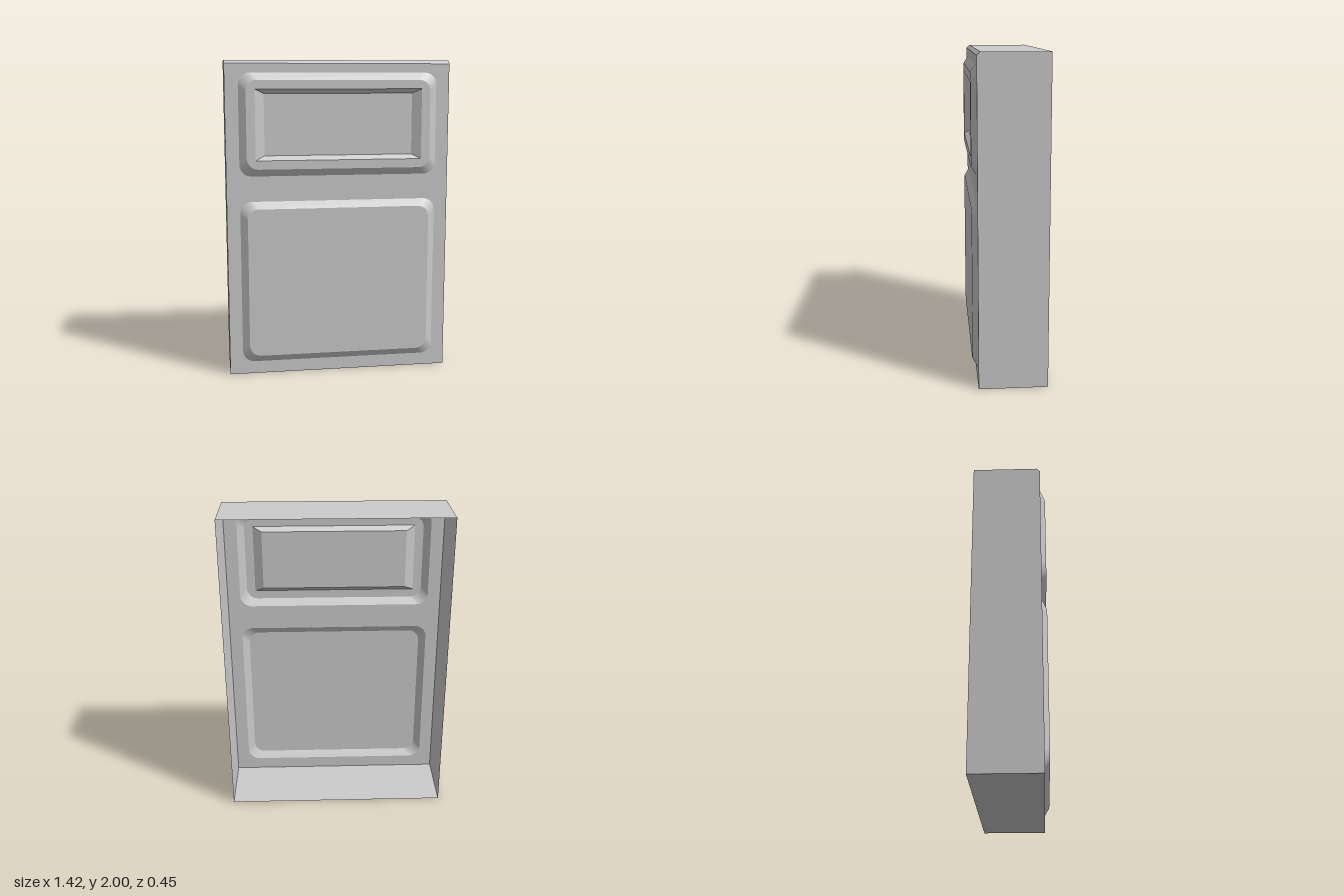
import * as THREE from 'three';

const HALF_W = 0.708, BACK = -0.225, FRONT = 0.195, RAISED = 0.225;
const CHAMFER = 0.02, HEIGHT = 2;

const smooth = new THREE.MeshStandardMaterial({ color: 0xcccccc, side: THREE.DoubleSide });
const flat = new THREE.MeshStandardMaterial({ color: 0xcccccc, side: THREE.DoubleSide, flatShading: true });

// Counter-clockwise rectangle outline; r = 0 gives sharp corners
function outline(hw, y0, y1, r = 0) {
  const steps = r > 0 ? 8 : 0;
  const corners = [[1, y1 - r, 0], [-1, y1 - r, 1], [-1, y0 + r, 2], [1, y0 + r, 3]];
  const pts = [];
  for (const [s, cy, q] of corners) {
    for (let i = 0; i <= steps; i++) {
      const a = (q + (steps ? i / steps : 0)) * Math.PI / 2;
      pts.push(new THREE.Vector2(s * (hw - r) + r * Math.cos(a), cy + r * Math.sin(a)));
    }
  }
  return pts;
}

// Band of quads between two rows of points
function band(a, b, closed) {
  const n = a.length, index = [];
  for (let i = 0; i < (closed ? n : n - 1); i++) {
    const j = (i + 1) % n;
    index.push(i, j, n + j, i, n + j, n + i);
  }
  const g = new THREE.BufferGeometry().setFromPoints([...a, ...b]);
  g.setIndex(index);
  g.computeVertexNormals();
  return g;
}

const atZ = (pts, z) => pts.map(p => new THREE.Vector3(p.x, p.y, z));

// Flat sheet facing +z with optional holes
function sheet(pts, z, holes = []) {
  const shape = new THREE.Shape(pts);
  for (const h of holes) shape.holes.push(new THREE.Path(h));
  return new THREE.ShapeGeometry(shape).translate(0, 0, z);
}

export function createModel() {
  const model = new THREE.Group();
  const add = (parent, name, geometry, material = smooth) => {
    const mesh = new THREE.Mesh(geometry, material);
    mesh.name = name;
    parent.add(mesh);
  };

  // Open-backed casing: side walls, then top and bottom with the chamfered front edge
  const top = HEIGHT - CHAMFER;
  const topProfile = [[top, FRONT], [HEIGHT, FRONT - CHAMFER], [HEIGHT, BACK]];
  const bottomProfile = [[0, BACK], [0, FRONT]];
  for (const s of [1, -1]) {
    const pts = [...bottomProfile, ...topProfile].map(([y, z]) => new THREE.Vector2(-s * z, y));
    add(model, s > 0 ? 'leftWall' : 'rightWall',
      new THREE.ShapeGeometry(new THREE.Shape(pts)).rotateY(s * Math.PI / 2).translate(s * HALF_W, 0, 0));
  }
  const across = profile => band(
    profile.map(([y, z]) => new THREE.Vector3(HALF_W, y, z)),
    profile.map(([y, z]) => new THREE.Vector3(-HALF_W, y, z)), false);
  add(model, 'topWall', across(topProfile), flat);
  add(model, 'bottomWall', across(bottomProfile), flat);

  // Raised panels with sloping rounded borders
  const slope = 0.045;
  const panels = [
    { name: 'lowerPanel', y0: 0.08, y1: 1.125 },
    { name: 'upperPanel', y0: 1.285, y1: 1.925, recess: true },
  ];
  const openings = [];
  for (const { name, y0, y1, recess } of panels) {
    const group = new THREE.Group();
    group.name = name;
    model.add(group);
    const outer = outline(0.625, y0, y1, 0.075);
    const inner = outline(0.625 - slope, y0 + slope, y1 - slope, 0.07);
    openings.push(outer);
    add(group, 'panelBorder', band(atZ(outer, FRONT), atZ(inner, RAISED), true));

    // Rectangular window pressed back into the upper panel
    const rim = outline(0.525, 1.385, 1.825);
    add(group, 'panelFace', sheet(inner, RAISED, recess ? [rim] : []));
    if (recess) {
      const floor = outline(0.468, 1.413, 1.797);
      add(group, 'recessSlopes', band(atZ(rim, RAISED), atZ(floor, FRONT), true), flat);
      add(group, 'recessFloor', sheet(floor, FRONT));
    }
  }

  // Front sheet around the panels
  add(model, 'frontSheet', sheet(outline(HALF_W, 0, top), FRONT, openings));
  return model;
}
